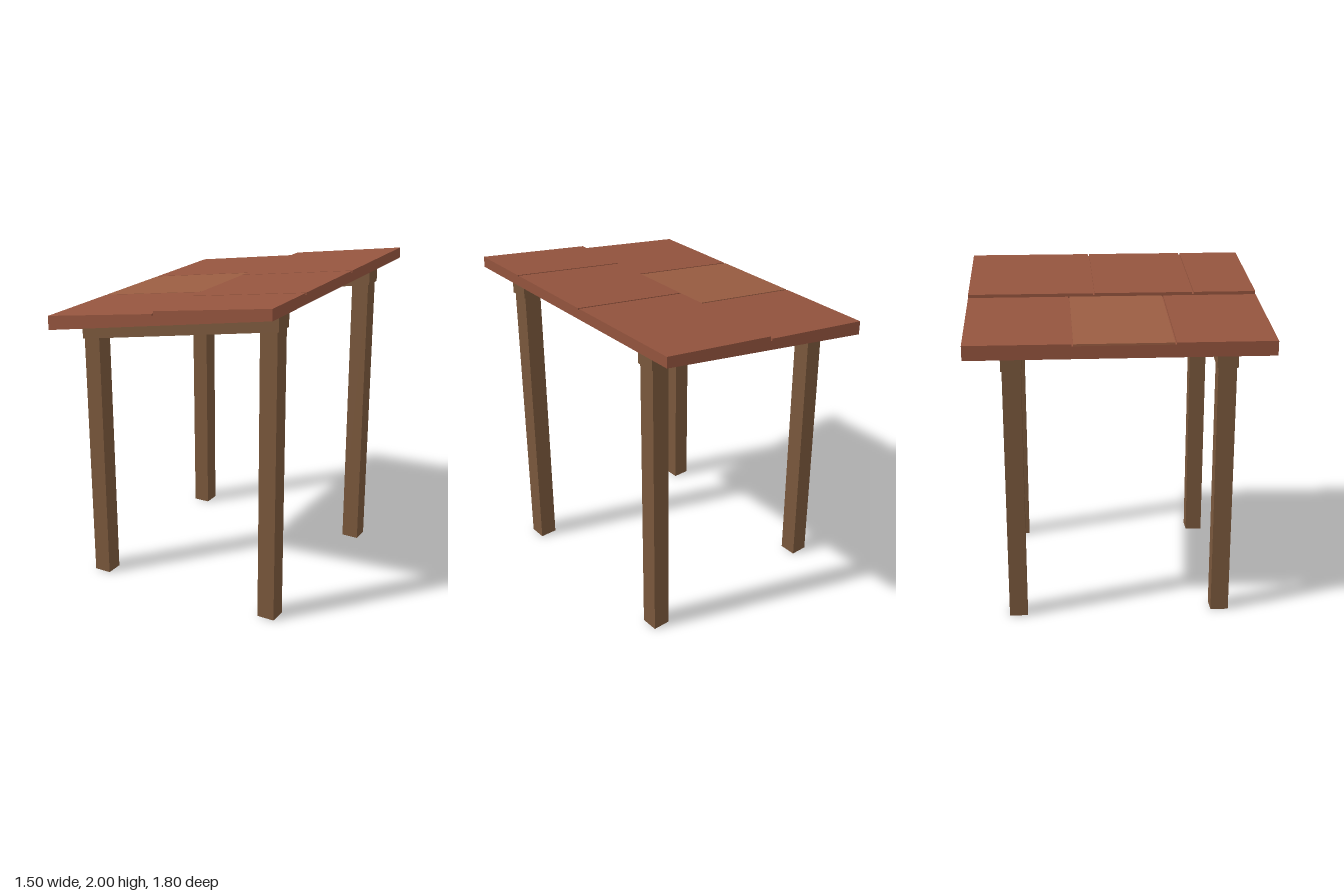
import * as THREE from 'three';

const wood = new THREE.MeshStandardMaterial({ color: 0x7a583c, flatShading: true });
const clay = new THREE.MeshStandardMaterial({ color: 0x94543e, flatShading: true });
const paleClay = new THREE.MeshStandardMaterial({ color: 0x9a5d42, flatShading: true });

// Prism with an x-y outline, running from z0 to z1
function prism(name, points, z0, z1, material) {
  const shape = new THREE.Shape(points.map(([x, y]) => new THREE.Vector2(x, y)));
  const geometry = new THREE.ExtrudeGeometry(shape, { depth: z1 - z0, bevelEnabled: false });
  geometry.translate(0, 0, z0);
  const mesh = new THREE.Mesh(geometry, material);
  mesh.name = name;
  return mesh;
}

export function createModel() {
  const group = new THREE.Group();
  const beamTop = x => 1.803 + 0.173 * x;
  const groove = 0.012;

  // Posts and sloping beams, mirrored front and back
  for (const side of [-1, 1]) {
    const z = side * 0.628;
    for (const [x0, x1] of [[-0.652, -0.543], [0.56, 0.67]]) {
      const top = x => beamTop(x) - 0.02;
      group.add(prism('post', [[x0, 0], [x1, 0], [x1, top(x1)], [x0, top(x0)]],
        z - 0.055, z + 0.055, wood));
    }
    const [a, b] = [-0.66, 0.68];
    group.add(prism('beam', [[a, beamTop(a) - 0.11], [b, beamTop(b) - 0.11], [b, beamTop(b)], [a, beamTop(a)]],
      z - 0.062, z + 0.062, wood));
  }

  // Two overlapping roof rows: a wedge underlay with tiles split by narrow grooves
  const rows = [
    { x0: -0.75, x1: 0, tileEnd: -0.01, y0: 1.76, y1: 1.872, joints: [-0.277, 0.311] },
    { x0: 0, x1: 0.75, tileEnd: 0.75, y0: 1.888, y1: 2, joints: [-0.119, 0.505] },
  ];
  rows.forEach(({ x0, x1, tileEnd, y0, y1, joints }, row) => {
    const top = x => y0 + (y1 - y0) * (x - x0) / (x1 - x0);
    group.add(prism('roofUnderlay', [[x0, beamTop(x0)], [x1, beamTop(x1)], [x1, y1 - groove], [x0, y0 - groove]],
      -0.9, 0.9, clay));
    const edges = [-0.9, ...joints, 0.9];
    for (let i = 0; i < 3; i++) {
      const z0 = edges[i] + (i > 0 ? 0.005 : 0);
      const z1 = edges[i + 1] - (i < 2 ? 0.005 : 0);
      group.add(prism('roofTile',
        [[x0, y0 - groove], [tileEnd, top(tileEnd) - groove], [tileEnd, top(tileEnd)], [x0, y0]],
        z0, z1, row === 0 && i === 1 ? paleClay : clay));
    }
  });
  return group;
}
